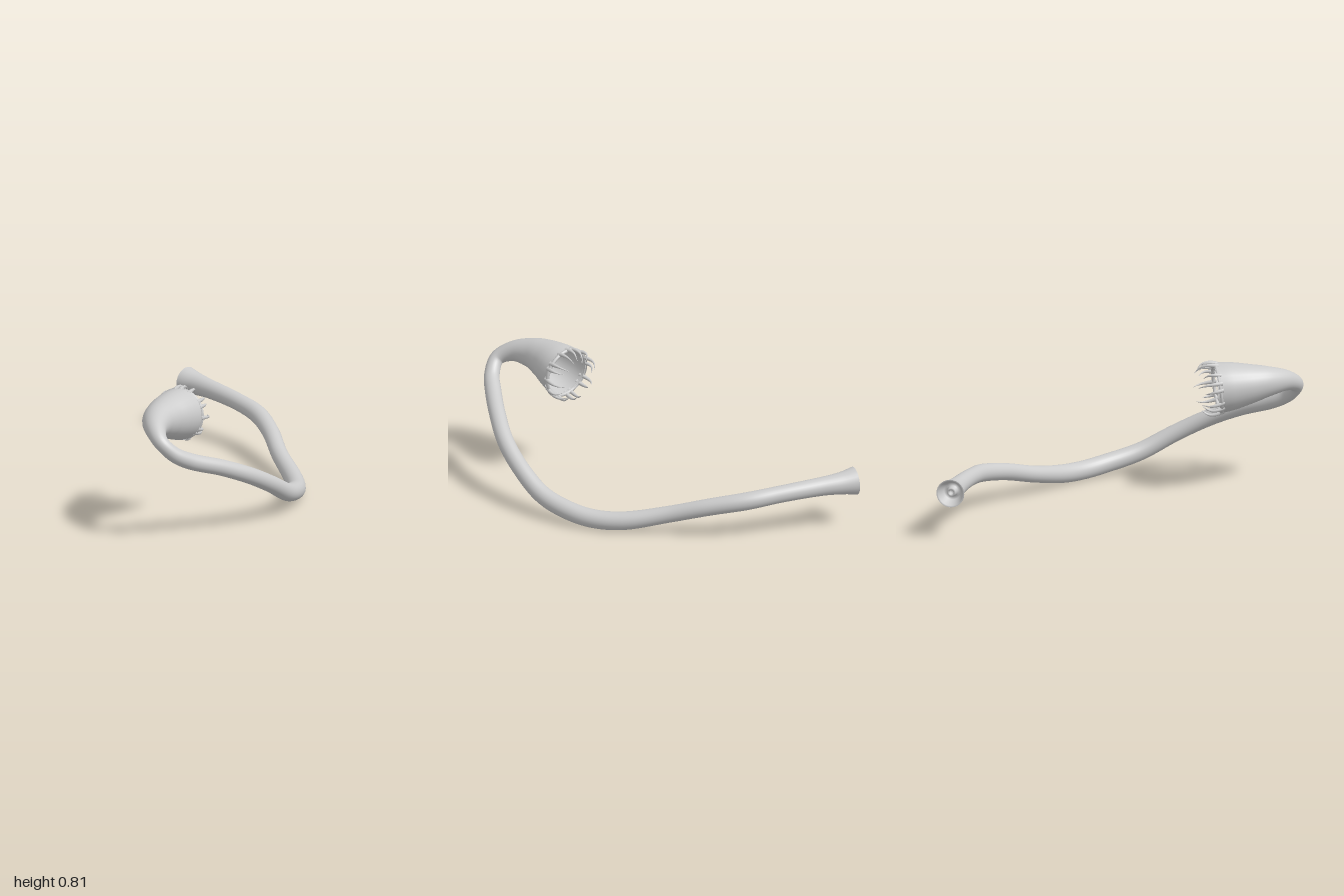
import * as THREE from 'three';

const material = new THREE.MeshStandardMaterial({ color: 0xcccccc, side: THREE.DoubleSide });
const V = (x, y, z) => new THREE.Vector3(x, y, z);

// Centre line of stem and bell: x, y, z, radius
const stations = [
  [-0.855, 0.287, -0.92, 0.084], [-0.77, 0.284, -0.915, 0.067], [-0.65, 0.28, -0.9, 0.056],
  [-0.4, 0.262, -0.862, 0.051], [-0.2, 0.235, -0.815, 0.053], [0, 0.19, -0.705, 0.051],
  [0.2, 0.124, -0.56, 0.05], [0.42, 0.07, -0.42, 0.055], [0.55, 0.061, -0.31, 0.056],
  [0.65, 0.078, -0.19, 0.056], [0.75, 0.13, 0, 0.054], [0.802, 0.235, 0.2, 0.051],
  [0.808, 0.335, 0.4, 0.05], [0.765, 0.42, 0.6, 0.049], [0.7, 0.49, 0.8, 0.049],
  [0.66, 0.545, 0.9, 0.046], [0.6, 0.62, 0.953, 0.045], [0.515, 0.668, 0.905, 0.062],
  [0.435, 0.68, 0.8, 0.093], [0.395, 0.673, 0.7, 0.12], [0.372, 0.662, 0.6, 0.143],
  [0.358, 0.652, 0.515, 0.154],
];
const path = new THREE.CatmullRomCurve3(stations.map(s => V(s[0], s[1], s[2])));
const radii = new THREE.CatmullRomCurve3(stations.map(s => V(s[3], 0, 0)), false, 'catmullrom');
const radiusAt = t => radii.getPoint(t).x;

// Round section of varying radius carried along a curve without twisting
function sweep(name, curve, radius, steps, sides, t0 = 0, t1 = 1) {
  const pos = [], index = [];
  const normal = V(0, 1, 0);
  for (let i = 0; i <= steps; i++) {
    const t = t0 + (t1 - t0) * i / steps;
    const c = curve.getPoint(t), tan = curve.getTangent(t);
    if (i === 0 && Math.abs(tan.y) > 0.9) normal.set(1, 0, 0);
    normal.addScaledVector(tan, -normal.dot(tan)).normalize();
    const bin = tan.clone().cross(normal), r = radius(t);
    for (let j = 0; j < sides; j++) {
      const a = j / sides * Math.PI * 2;
      const p = c.clone().addScaledVector(normal, r * Math.cos(a)).addScaledVector(bin, r * Math.sin(a));
      pos.push(p.x, p.y, p.z);
      if (i < steps) {
        const k = i * sides, n = (j + 1) % sides;
        index.push(k + j, k + n, k + sides + j, k + n, k + sides + n, k + sides + j);
      }
    }
  }
  const g = new THREE.BufferGeometry();
  g.setAttribute('position', new THREE.Float32BufferAttribute(pos, 3));
  g.setIndex(index);
  g.computeVertexNormals();
  const mesh = new THREE.Mesh(g, material);
  mesh.name = name;
  return mesh;
}

export function createModel() {
  const model = new THREE.Group();
  model.name = 'tubularFlower';

  // Outer skin, from the flared foot to the bell mouth
  model.add(sweep('stemAndBell', path, radiusAt, 150, 28));

  // Hollow inside of the bell, tapering shut at its throat
  const throat = 0.82;
  model.add(sweep('bellLining', path,
    t => radiusAt(t) * 0.9 * Math.min(1, Math.sqrt((t - throat) / 0.06)), 24, 28, throat, 1));

  // Recessed foot with a small core
  const foot = new THREE.Mesh(new THREE.LatheGeometry(
    [[0.084, 0], [0.074, 0], [0.052, -0.07], [0.03, -0.075], [0.026, -0.03], [0.014, -0.03], [0.012, -0.06], [0, -0.06]]
      .map(p => new THREE.Vector2(...p)), 28), material);
  foot.name = 'hollowFoot';
  foot.position.copy(path.getPoint(0));
  foot.quaternion.setFromUnitVectors(V(0, 1, 0), path.getTangent(0).negate());
  model.add(foot);

  // Mouth of the bell, with +z of the group pointing out
  const mouth = new THREE.Group();
  mouth.name = 'mouth';
  mouth.position.copy(path.getPoint(1));
  mouth.quaternion.setFromUnitVectors(V(0, 0, 1), V(-0.28, -0.11, -0.95).normalize());
  model.add(mouth);

  const R = 0.149;
  const rim = new THREE.Mesh(new THREE.TorusGeometry(R - 0.002, 0.011, 8, 48), material);
  rim.name = 'rim';
  mouth.add(rim);

  // Curved, slightly uneven teeth around the rim
  const count = 16;
  for (let i = 0; i < count; i++) {
    const a = (i + 0.25 * Math.sin(i * 4.1)) / count * Math.PI * 2;
    const len = 0.108 + 0.022 * Math.sin(i * 2.7);
    const lean = 0.016 * Math.sin(i * 5.3);
    const at = (r, z, side) => V(
      r * Math.cos(a) - side * Math.sin(a), r * Math.sin(a) + side * Math.cos(a), z);
    const curve = new THREE.CatmullRomCurve3([
      at(R - 0.004, -0.015, 0), at(R + 0.008, len * 0.3, lean * 0.2),
      at(R + 0.004, len * 0.65, lean * 0.5), at(R - 0.03, len, lean),
    ]);
    mouth.add(sweep('tooth', curve, t => 0.0008 + 0.0135 * Math.pow(1 - t, 0.9), 10, 8));
  }
  return model;
}
